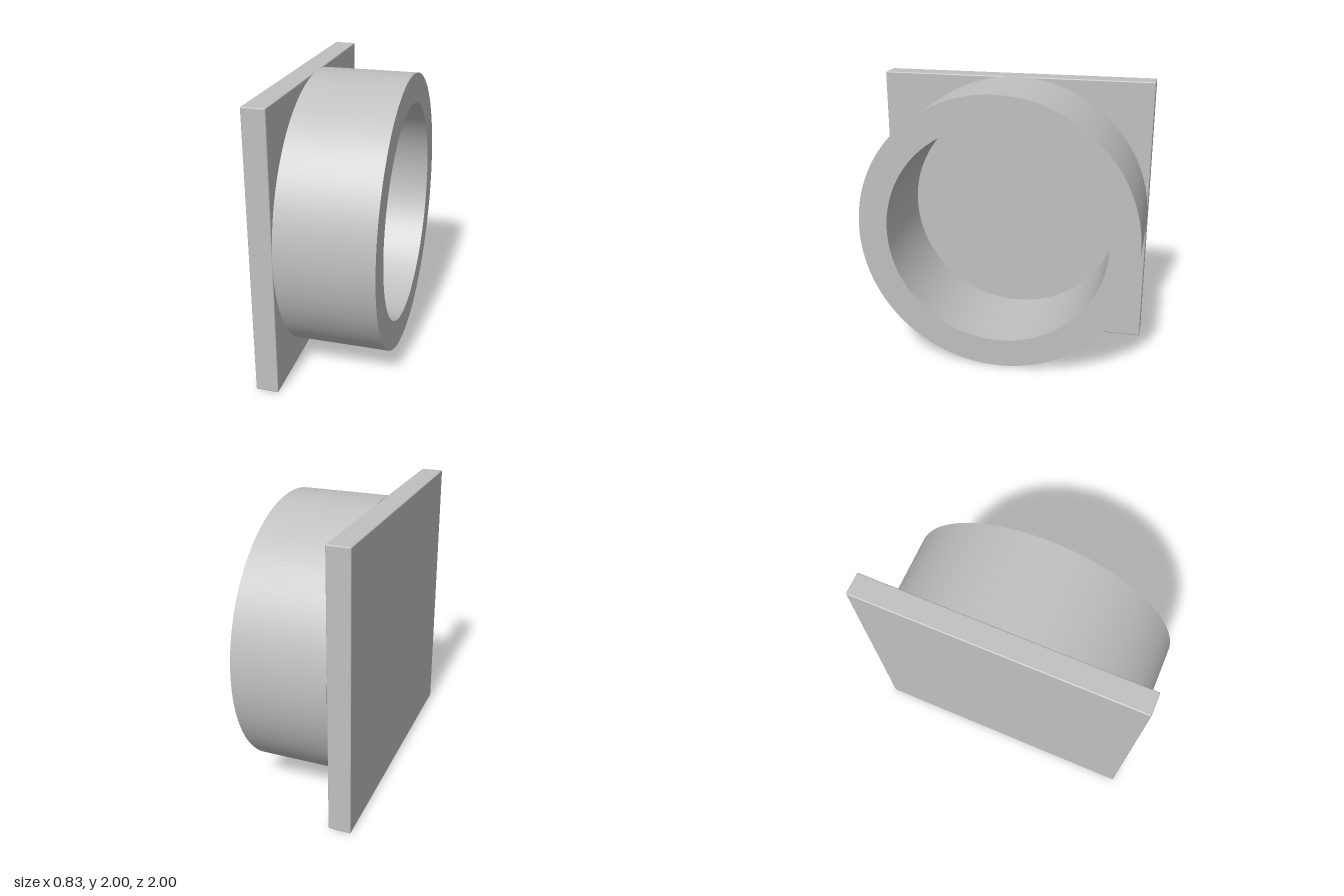
import * as THREE from 'three';
import { toCreasedNormals } from 'three/addons/utils/BufferGeometryUtils.js';
import { RoundedBoxGeometry } from 'three/addons/geometries/RoundedBoxGeometry.js';

export function createModel() {
  const group = new THREE.Group();
  group.name = 'flangedCollar';
  const grey = new THREE.MeshStandardMaterial({ color: 0xc0c0c0 });
  grey.name = 'plain grey';

  const left = -0.415, plateFace = -0.255, rimFace = 0.415;

  // Square backing plate with slightly softened edges
  const plate = new THREE.Mesh(
    new RoundedBoxGeometry(plateFace - left, 2, 2, 2, 0.008), grey);
  plate.name = 'backPlate';
  plate.position.set((left + plateFace) / 2, 1, 0);
  group.add(plate);

  // Thick open ring standing out from the plate along +x
  const section = new THREE.Shape().absarc(0, 0, 1, 0, Math.PI * 2, false);
  section.holes.push(new THREE.Path().absarc(0, 0, 0.79, 0, Math.PI * 2, true));
  const ringGeometry = new THREE.ExtrudeGeometry(section, {
    depth: rimFace - plateFace, bevelEnabled: false, curveSegments: 128,
  });
  ringGeometry.rotateY(Math.PI / 2);
  const ring = new THREE.Mesh(toCreasedNormals(ringGeometry, 0.6), grey);
  ring.name = 'collarRing';
  ring.position.set(plateFace, 1, 0);
  group.add(ring);

  return group;
}
